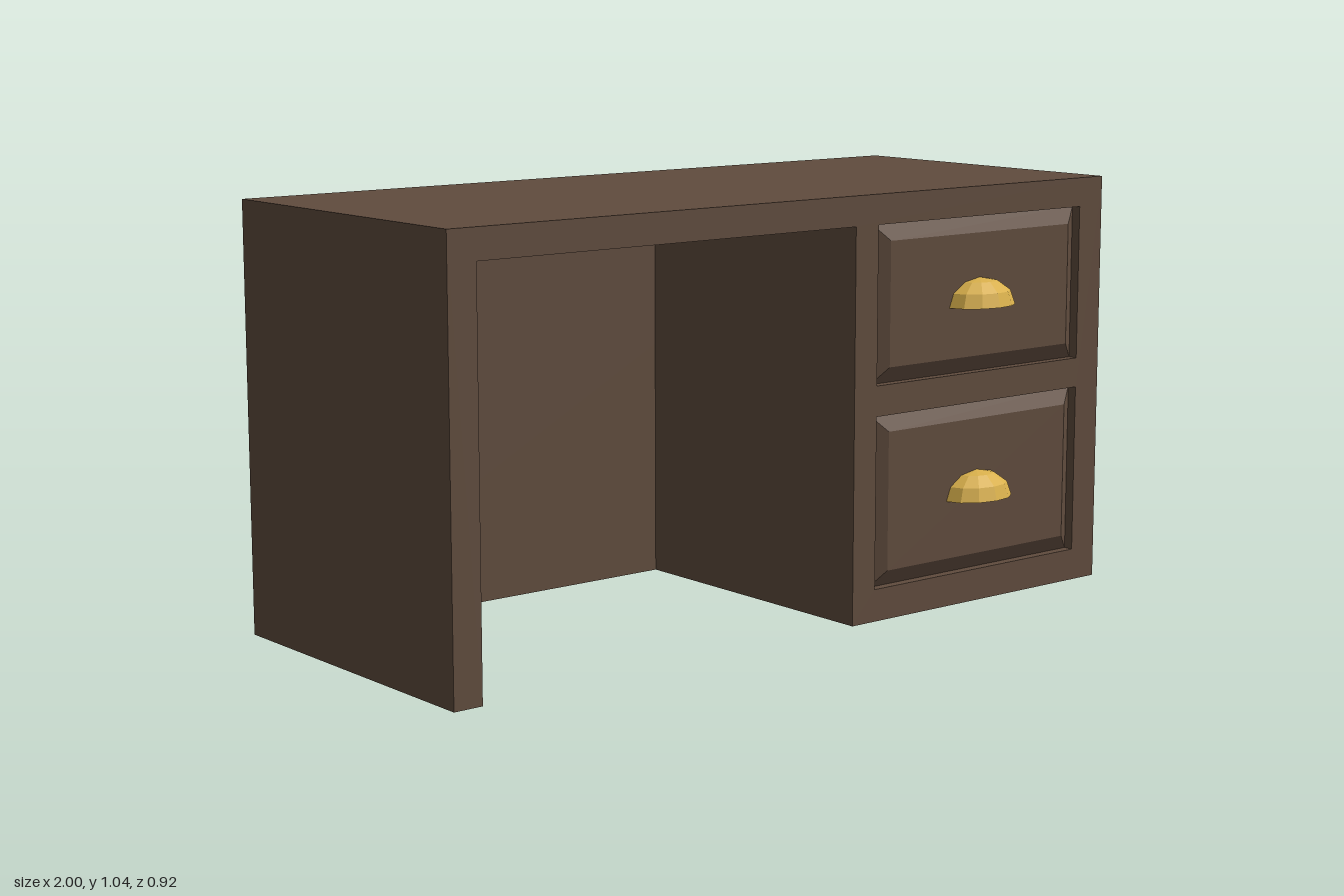
import * as THREE from 'three';

const wood = new THREE.MeshStandardMaterial({ color: 0x604c3e, flatShading: true });
const brass = new THREE.MeshStandardMaterial({ color: 0xd9b04c, flatShading: true, side: THREE.DoubleSide });

const BACK = -0.46, FRONT = 0.385, GROOVE = 0.025, HEIGHT = 1.04;
const drawers = [
  { name: 'lowerDrawer', y0: 0.08, y1: 0.505, handleY: 0.266 },
  { name: 'upperDrawer', y0: 0.58, y1: 0.967, handleY: 0.747 },
];
const DX0 = 0.227, DX1 = 0.92;

function mesh(name, geometry, material, parent) {
  const m = new THREE.Mesh(geometry, material);
  m.name = name;
  parent.add(m);
  return m;
}

function polygon(points, Type = THREE.Shape) {
  return new Type(points.map(([x, y]) => new THREE.Vector2(x, y)));
}

// Desk outline seen from the front, with the kneehole cut out
function deskOutline() {
  return polygon([[-1, 0], [-0.925, 0], [-0.925, 0.967], [0.155, 0.967],
    [0.155, 0], [1, 0], [1, HEIGHT], [-1, HEIGHT]]);
}

function slab(shape, z0, z1) {
  return new THREE.ExtrudeGeometry(shape, { depth: z1 - z0, bevelEnabled: false }).translate(0, 0, z0);
}

// Raised panel: a box whose front face is drawn in to form sloping edges
function raisedPanel(w, h, depth, inset) {
  const g = new THREE.BoxGeometry(w, h, depth);
  const p = g.attributes.position;
  for (let i = 0; i < p.count; i++) {
    if (p.getZ(i) > 0) {
      p.setX(i, Math.sign(p.getX(i)) * (w / 2 - inset));
      p.setY(i, Math.sign(p.getY(i)) * (h / 2 - inset));
    }
  }
  g.computeVertexNormals();
  return g;
}

export function createModel() {
  const desk = new THREE.Group();
  desk.name = 'desk';

  // Carcass and back panel
  mesh('carcass', slab(deskOutline(), -0.38, FRONT - GROOVE), wood, desk);
  mesh('backPanel', new THREE.BoxGeometry(2, HEIGHT, 0.08), wood, desk)
    .position.set(0, HEIGHT / 2, BACK + 0.04);

  // Front frame with drawer openings
  const frame = deskOutline();
  for (const d of drawers) {
    frame.holes.push(polygon([[DX0, d.y0], [DX0, d.y1], [DX1, d.y1], [DX1, d.y0]], THREE.Path));
  }
  mesh('frontFrame', slab(frame, FRONT - GROOVE, FRONT), wood, desk);

  // Drawers with cup handles
  for (const d of drawers) {
    const drawer = new THREE.Group();
    drawer.name = d.name;
    desk.add(drawer);
    mesh('drawerFront', raisedPanel(DX1 - DX0, d.y1 - d.y0, GROOVE, 0.041), wood, drawer)
      .position.set((DX0 + DX1) / 2, (d.y0 + d.y1) / 2, FRONT - GROOVE / 2);

    const handle = new THREE.Group();
    handle.name = 'handle';
    handle.position.set(0.567, d.handleY, FRONT);
    handle.scale.set(0.102, 0.069, 0.073);
    drawer.add(handle);
    mesh('handleCup', new THREE.SphereGeometry(1, 6, 3, 0, Math.PI, 0, Math.PI / 2), brass, handle);
    mesh('handleUnderside', new THREE.CircleGeometry(1, 6, Math.PI, Math.PI).rotateX(Math.PI / 2).scale(1, 1, -1), brass, handle)
      .scale.z = 1;
  }
  return desk;
}
